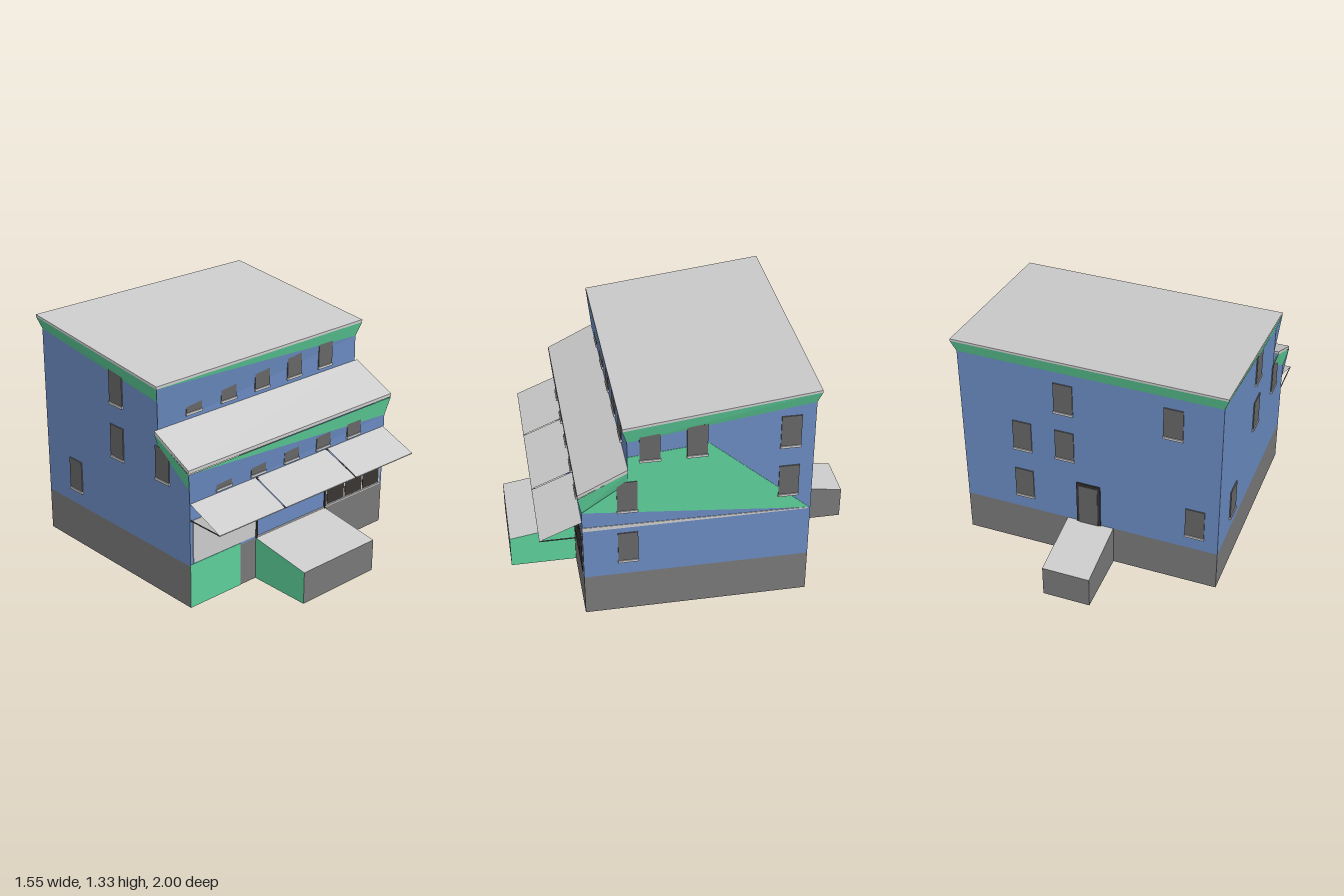
import * as THREE from 'three';

const BLUE = 0x6a8ac0, GREEN = 0x5dcf9a, STONE = 0x787878, GREY = 0xcccccc, GLASS = 0x666666, DARK = 0x383532;

const mat = (color) => new THREE.MeshStandardMaterial({ color, side: THREE.DoubleSide, flatShading: true });

export function createModel() {
  const root = new THREE.Group();

  const add = (name, geometry, color, parent = root) => {
    const mesh = new THREE.Mesh(geometry, mat(color));
    mesh.name = name;
    parent.add(mesh);
    return mesh;
  };

  // Flat sheet through the given corners, split as a fan
  const sheet = (name, color, ...points) => {
    const g = new THREE.BufferGeometry();
    g.setAttribute('position', new THREE.Float32BufferAttribute(points.flat(), 3));
    const index = [];
    for (let i = 1; i < points.length - 1; i++) index.push(0, i, i + 1);
    g.setIndex(index);
    g.computeVertexNormals();
    return add(name, g, color);
  };

  const box = (name, color, x0, x1, y0, y1, z0, z1, parent) => {
    const g = new THREE.BoxGeometry(x1 - x0, y1 - y0, z1 - z0);
    g.translate((x0 + x1) / 2, (y0 + y1) / 2, (z0 + z1) / 2);
    return add(name, g, color, parent);
  };

  // Slab with a [z, y] profile, running across x
  const slab = (name, color, x0, x1, profile) => {
    const shape = new THREE.Shape(profile.map(([z, y]) => new THREE.Vector2(-z, y)));
    const g = new THREE.ExtrudeGeometry(shape, { depth: x1 - x0, bevelEnabled: false });
    g.rotateY(Math.PI / 2).translate(x0, 0, 0);
    return add(name, g, color);
  };

  const W = 0.75, E = 0.775, D = 0.625, B = 0.645;

  // Stone base, open underneath
  for (const s of [-1, 1]) {
    sheet('baseSide', STONE, [s * W, 0, -D], [s * W, 0, D], [s * W, 0.25, D], [s * W, 0.25, -D]);
    sheet('baseEnd', STONE, [-W, 0, s * D], [W, 0, s * D], [W, 0.25, s * D], [-W, 0.25, s * D]);
  }
  box('basePanel', GREEN, -W, -0.39, 0, 0.26, D, D + 0.002);

  // Side walls with flared eaves
  const profile = [[D, 0.25], [-D, 0.25], [-D, 1.25], [0.375, 1.11], [0.375, 0.86], [D, 0.69]];
  for (const s of [-1, 1]) {
    const wall = new THREE.ShapeGeometry(new THREE.Shape(profile.map(([z, y]) => new THREE.Vector2(-z, y))));
    add('sideWall', wall.rotateY(Math.PI / 2).translate(s * W, 0, 0), BLUE);
    sheet('upperSideEave', GREEN, [s * W, 1.11, 0.375], [s * W, 1.25, -D], [s * E, 1.32, -B], [s * E, 1.195, 0.4]);
    sheet('lowerSideEave', GREEN, [s * W, 0.69, D], [s * W, 0.86, 0.375], [s * E, 0.94, 0.375], [s * E, 0.8, B]);
  }
  slab('sideColourField', GREEN, W, W + 0.002,
    [[D, 0.69], [0.375, 0.86], [0.375, 1.02], [-0.06, 1.06], [-0.62, 0.57]]);
  slab('sideBand', GREY, W, W + 0.003, [[D, 0.565], [D, 0.59], [-0.61, 0.573], [-0.61, 0.565]]);

  // Back wall and its eave
  sheet('backWall', BLUE, [W, 0.25, -D], [-W, 0.25, -D], [-W, 1.25, -D], [W, 1.25, -D]);
  sheet('backEave', GREEN, [W, 1.25, -D], [-W, 1.25, -D], [-E, 1.32, -B], [E, 1.32, -B]);

  // Front walls: upright at the right, leaning out towards the top left
  const frontWall = (name, y0, yLeft, yRight, top, z, zTop) => {
    sheet(name, BLUE, [-W, y0, z], [W, y0, z], [W, yRight, z], [-W, yLeft, z]);
    sheet(name + 'Lean', BLUE, [-W, yLeft, z], [W, yRight, z], [-E, top, zTop]);
    sheet(name + 'Eave', GREEN, [-E, top, zTop], [W, yRight, z], [E, top, zTop]);
  };
  frontWall('lowerFront', 0.25, 0.6, 0.69, 0.8, D, B);
  frontWall('upperFront', 0.86, 0.95, 1.11, 1.195, 0.375, 0.4);

  // Sloping roofs
  slab('mainRoof', GREY, -E, E, [[0.4, 1.195], [0.4, 1.21], [-B, 1.333], [-B, 1.32]]);
  slab('lowerRoof', GREY, -E, E, [[B, 0.803], [B, 0.823], [0.375, 0.957], [0.375, 0.938]]);

  // Windows: pane, light backing and sill, built facing +z then turned to the wall
  const window = (side, u, y0, y1, z = D) => {
    const g = new THREE.Group();
    g.name = side + 'Window';
    box('pane', GLASS, -0.055, 0.055, y0, y1, -0.002, 0.006, g);
    box('frame', GREY, -0.052, 0.052, y0, y1, -0.008, -0.003, g);
    box('sill', GREY, -0.057, 0.057, y0 - 0.008, y0 + 0.006, 0, 0.011, g);
    if (side === 'front') g.position.set(u, 0, z);
    if (side === 'back') { g.position.set(u, 0, -D); g.rotation.y = Math.PI; }
    if (side === 'right') { g.position.set(W, 0, u); g.rotation.y = Math.PI / 2; }
    if (side === 'left') { g.position.set(-W, 0, u); g.rotation.y = -Math.PI / 2; }
    root.add(g);
  };
  for (let i = 0; i < 5; i++) {
    window('front', -0.515 + i * 0.25, 0.64, 0.76);
    window('front', -0.503 + i * 0.25, 0.99, 1.135, 0.375);
  }
  const floors = [[0.34, 0.53], [0.675, 0.865], [0.99, 1.18]];
  const layout = {
    right: [[0.38, 0], [0.38, 1], [-0.495, 1], [0.005, 2], [-0.495, 2]],
    left: [[-0.36, 0], [0.03, 1], [0.41, 1], [0.03, 2]],
    back: [[0.39, 0], [-0.615, 0], [0.39, 1], [0.14, 1], [0.14, 2], [-0.48, 2]],
  };
  for (const [side, list] of Object.entries(layout))
    for (const [u, f] of list) window(side, u, ...floors[f]);
  window('right', 0.255, 0.99, 1.15);

  // Back door
  box('doorFrame', DARK, -0.065, 0.075, 0.25, 0.53, -D - 0.008, -D + 0.004);
  box('backDoor', GLASS, -0.05, 0.06, 0.25, 0.515, -D - 0.011, -D);

  // Shop fronts
  box('shopPanel', GREY, -0.73, -0.28, 0.265, 0.52, D - 0.004, D + 0.004);
  box('shopFrame', GREY, 0.275, 0.73, 0.262, 0.52, D - 0.004, D + 0.003);
  for (let i = 0; i < 3; i++)
    box('shopPane', DARK, 0.28 + i * 0.15, 0.42 + i * 0.15, 0.268, 0.515, D, D + 0.005);
  for (const x of [-0.272, 0.266]) box('shopPost', DARK, x - 0.006, x + 0.006, 0.25, 0.62, D, D + 0.006);
  box('shopSill', GREY, -0.275, 0.73, 0.252, 0.26, D, D + 0.004);

  // Awnings on thin level arms
  for (const [x0, x1] of [[-0.75, -0.283], [-0.277, 0.265], [0.272, 0.742]]) {
    sheet('awning', GREY, [x0, 0.62, D], [x0, 0.525, 0.855], [x1, 0.525, 0.855], [x1, 0.62, D]);
    for (const x of [x0, x1 - 0.005]) box('awningArm', GLASS, x, x + 0.005, 0.521, 0.526, D, 0.855);
    box('awningBar', GREY, x0, x1, 0.521, 0.526, 0.85, 0.855);
  }

  // Porches with sloping tops, open underneath
  const porch = (name, x0, x1, s, sideColor) => {
    const zi = s * D, zo = s;
    sheet(name + 'Top', GREY, [x0, 0.25, zi], [x0, 0.19, zo], [x1, 0.19, zo], [x1, 0.25, zi]);
    sheet(name + 'Face', STONE, [x0, 0, zo], [x1, 0, zo], [x1, 0.19, zo], [x0, 0.19, zo]);
    for (const x of [x0, x1])
      sheet(name + 'Side', sideColor, [x, 0, zi], [x, 0, zo], [x, 0.19, zo], [x, 0.25, zi]);
  };
  porch('frontPorch', -0.275, 0.27, 1, GREEN);
  porch('backPorch', -0.14, 0.135, -1, STONE);

  return root;
}
